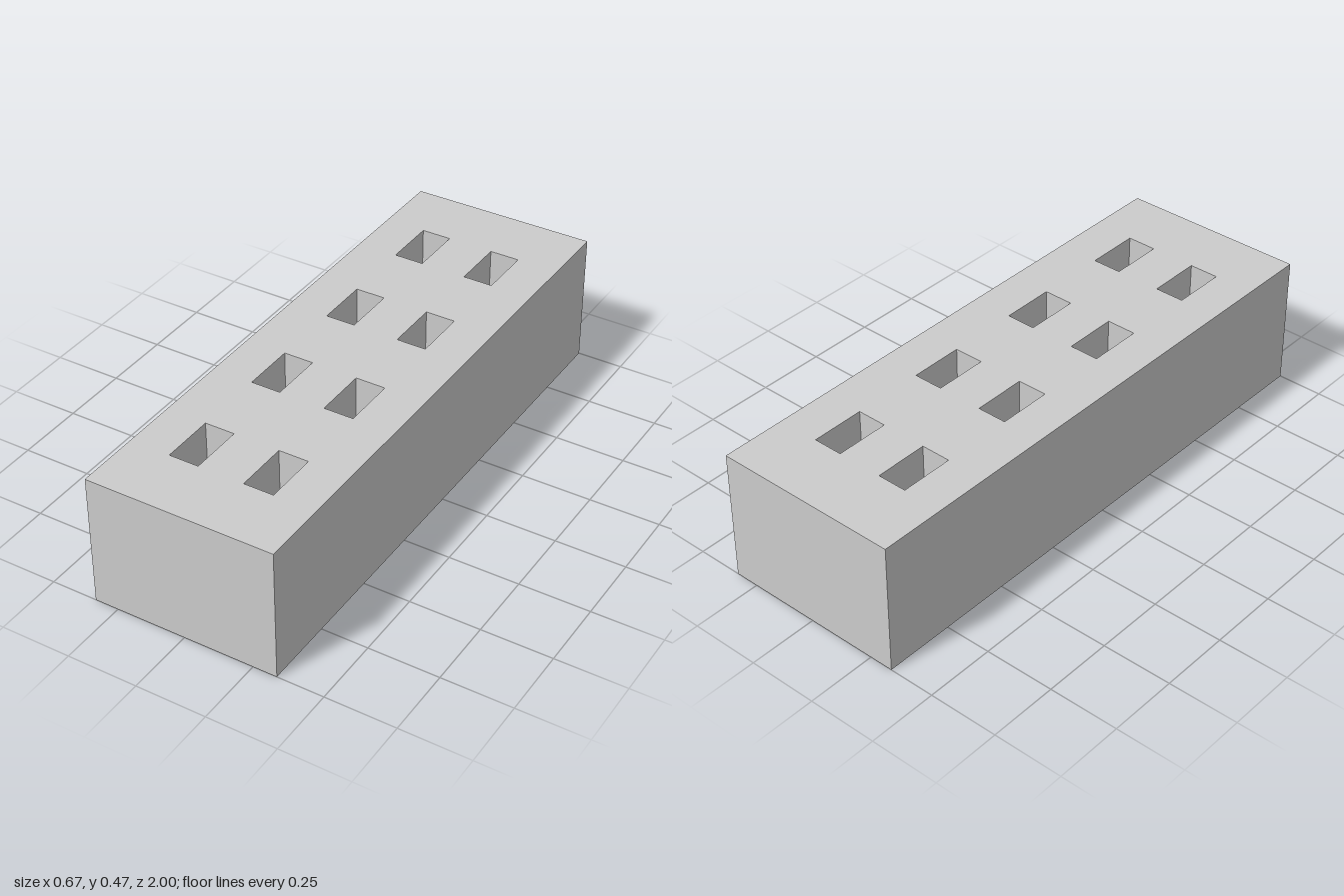
import * as THREE from 'three';

const WIDTH = 0.67, HEIGHT = 0.472, LENGTH = 2;
const POCKET_W = 0.106, POCKET_L = 0.192, POCKET_DEPTH = 0.24;
const COLUMNS = [-0.137, 0.133];
const ROWS = [-0.67, -0.222, 0.226, 0.675];

// Box without its top face; inward turns the faces to look inside
function openBox(w, h, d, inward = false) {
  const geometry = new THREE.BoxGeometry(w, h, d);
  const index = Array.from(geometry.index.array);
  index.splice(12, 6);
  if (inward) {
    index.reverse();
    geometry.attributes.normal.array.forEach((n, i, a) => { a[i] = -n; });
  }
  geometry.setIndex(index);
  geometry.clearGroups();
  return geometry;
}

// Rectangle outline in the top plane (shape y is -z)
function rectangle(path, x, z, w, l) {
  path.moveTo(x - w / 2, -z - l / 2);
  path.lineTo(x + w / 2, -z - l / 2);
  path.lineTo(x + w / 2, -z + l / 2);
  path.lineTo(x - w / 2, -z + l / 2);
  path.closePath();
  return path;
}

export function createModel() {
  const model = new THREE.Group();
  model.name = 'brick';
  const material = new THREE.MeshStandardMaterial({ color: 0xcccccc });

  const add = (name, geometry, x, y, z) => {
    const mesh = new THREE.Mesh(geometry, material);
    mesh.name = name;
    mesh.position.set(x, y, z);
    model.add(mesh);
  };

  // Outer sides and base
  add('body', openBox(WIDTH, HEIGHT, LENGTH), 0, HEIGHT / 2, 0);

  // Blind rectangular pockets, two columns by four rows
  const top = rectangle(new THREE.Shape(), 0, 0, WIDTH, LENGTH);
  const pocket = openBox(POCKET_W, POCKET_DEPTH, POCKET_L, true);
  for (const x of COLUMNS) {
    for (const z of ROWS) {
      top.holes.push(rectangle(new THREE.Path(), x, z, POCKET_W, POCKET_L));
      add('pocket', pocket, x, HEIGHT - POCKET_DEPTH / 2, z);
    }
  }

  // Top face with the pocket openings
  add('topFace', new THREE.ShapeGeometry(top).rotateX(-Math.PI / 2), 0, HEIGHT, 0);

  return model;
}
